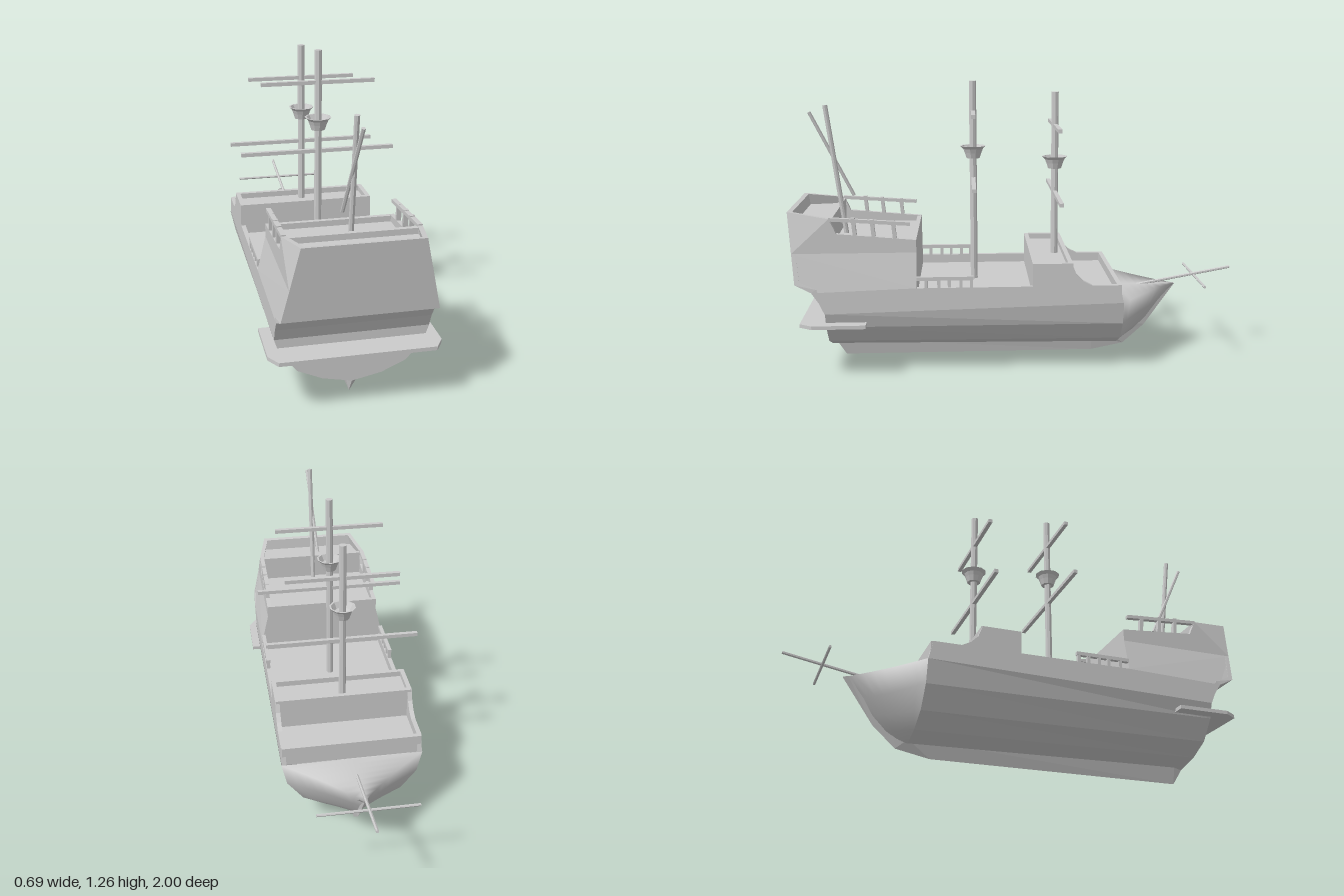
import * as THREE from 'three';

const flat = new THREE.MeshStandardMaterial({ color: 0xcccccc, flatShading: true, side: THREE.DoubleSide });
const smooth = new THREE.MeshStandardMaterial({ color: 0xcccccc, side: THREE.DoubleSide });

// Half-width of the topsides at height y and station z (bow is -z, stern +z)
function halfWidth(y, z) {
  if (y < 0.4 || z < 0.44) return 0.31;
  if (y < 0.55) return 0.31 - 0.035 * (y - 0.4) / 0.15;
  return z > 0.9 ? 0.275 - 0.04 * (y - 0.55) / 0.175 : 0.275;
}

// Extrudes a (z, y) outline sideways; mapX(c, y, z) places c = 0..1 across the ship
function slab(points, mapX) {
  const shape = new THREE.Shape(points.map(([z, y]) => new THREE.Vector2(-z, y)));
  const g = new THREE.ExtrudeGeometry(shape, { depth: 1, bevelEnabled: false });
  const p = g.attributes.position;
  for (let i = 0; i < p.count; i++) {
    const z = -p.getX(i), y = p.getY(i), c = p.getZ(i);
    p.setXYZ(i, mapX(c, y, z), y, z);
  }
  g.computeVertexNormals();
  return g;
}
const across = (points, inset = 0) => slab(points, (c, y, z) => (2 * c - 1) * (halfWidth(y, z) - inset));
const plate = (z0, z1, y0, y1, inset) => across([[z0, y0], [z1, y0], [z1, y1], [z0, y1]], inset);

// Surface through equal-length rows of points
function loft(rows) {
  const n = rows[0].length, index = [];
  for (let i = 0; i < rows.length - 1; i++)
    for (let j = 0; j < n - 1; j++) {
      const a = i * n + j, b = a + n;
      index.push(a, b, a + 1, b, b + 1, a + 1);
    }
  const g = new THREE.BufferGeometry();
  g.setAttribute('position', new THREE.Float32BufferAttribute(rows.flat(2), 3));
  g.setIndex(index);
  g.computeVertexNormals();
  return g;
}

export function createModel() {
  const ship = new THREE.Group();
  ship.name = 'sailingShip';
  const add = (name, geometry, material = flat) => {
    const m = new THREE.Mesh(geometry, material);
    m.name = name;
    ship.add(m);
    return m;
  };
  // Round spar between two points
  const spar = (name, a, b, r, sides = 8) => {
    const va = new THREE.Vector3(...a), vb = new THREE.Vector3(...b);
    const dir = vb.clone().sub(va);
    const m = add(name, new THREE.CylinderGeometry(r, r, dir.length(), sides));
    m.position.copy(va).add(vb).multiplyScalar(0.5);
    m.quaternion.setFromUnitVectors(new THREE.Vector3(0, 1, 0), dir.normalize());
  };

  // Lower hull: half sections from keel to sheer
  const sternHalf = [[0, 0.07], [0.12, 0.095], [0.22, 0.14], [0.29, 0.225], [0.312, 0.29]];
  const bowHalf = [[0, 0.05], [0.12, 0.08], [0.22, 0.13], [0.29, 0.22], [0.312, 0.32]];
  const full = half => [...half.slice(1).reverse().map(([x, y]) => [-x, y]), ...half];
  const at = (half, z) => full(half).map(([x, y]) => [x, y, z]);
  add('hull', loft([at(sternHalf, 0.845), at(bowHalf, -0.45)]).toNonIndexed());
  const transom = new THREE.ShapeGeometry(new THREE.Shape(full(sternHalf).map(p => new THREE.Vector2(...p))));
  add('lowerTransom', transom.translate(0, 0, 0.845));

  // Bow: section narrows to a raked stem, closed on top
  const stemZ = [-0.48, -0.55, -0.61, -0.66, -0.735];
  const stemY = [0.05, 0.1, 0.16, 0.23, 0.32];
  const bowRows = [];
  for (let i = 0; i <= 8; i++) {
    const t = i / 8;
    const half = bowHalf.map(([x, y], k) => [
      x * (1 - t - 0.05 * Math.sin(Math.PI * t)),
      y + (stemY[k] - y) * t,
      -0.45 + (stemZ[k] + 0.45) * t]);
    const top = [0, half[4][1], half[4][2]];
    bowRows.push([top, ...half.slice(1).reverse().map(([x, y, z]) => [-x, y, z]), ...half, top]);
  }
  add('bow', loft(bowRows), smooth);

  // Keel wedge running up into the stem
  const keelOuter = [[0.845, 0.07], [0.8, 0], [-0.35, 0], [-0.5, 0.03], [-0.6, 0.12], [-0.74, 0.32]];
  const keelInner = [[0.845, 0.08], [0.8, 0.08], [-0.35, 0.07], [-0.45, 0.07], [-0.52, 0.13], [-0.72, 0.32]];
  add('keel', loft(keelOuter.map(([z, y], i) => {
    const [iz, iy] = keelInner[i];
    return [[-0.02, iy, iz], [0, y, z], [0.02, iy, iz]];
  })).toNonIndexed());

  // Side walls, lower run and raised stern, on both sides
  const lowerWall = [[-0.45, 0.315], [-0.43, 0.4], [-0.31, 0.4], [-0.27, 0.42], [-0.24, 0.45], [-0.22, 0.5],
    [-0.05, 0.5], [-0.05, 0.4], [0.45, 0.4], [0.45, 0.55], [0.983, 0.55], [0.97, 0.42], [0.9, 0.385],
    [0.87, 0.34], [0.845, 0.285]];
  const upperWall = [[0.45, 0.55], [0.45, 0.605], [0.79, 0.635], [0.8, 0.66], [0.82, 0.7], [1, 0.725], [0.983, 0.55]];
  const thick = 0.02;
  for (const s of [1, -1]) {
    const mapX = (c, y, z) => s > 0 ? halfWidth(y, z) - thick * (1 - c) : -halfWidth(y, z) + thick * c;
    add('sideWall', slab(lowerWall, mapX));
    add('sternSideWall', slab(upperWall, mapX));

    // Waist railing
    const rail = add('waistRail', new THREE.BoxGeometry(0.018, 0.016, 0.245));
    rail.position.set(s * 0.3, 0.44, 0.328);
    for (const z of [0.215, 0.26, 0.31, 0.355, 0.41]) {
      add('waistRailPost', new THREE.BoxGeometry(0.016, 0.045, 0.014)).position.set(s * 0.3, 0.415, z);
    }
    // Quarterdeck railing, rising toward the stern
    const railMap = (c) => s * 0.265 + (c - 0.5) * 0.02;
    add('quarterdeckRail', slab([[0.475, 0.667], [0.475, 0.682], [0.82, 0.705], [0.82, 0.69]], railMap));
    for (const z of [0.54, 0.63, 0.71]) {
      const y = 0.605 + (z - 0.45) * 0.088;
      add('quarterdeckRailPost', slab([[z - 0.008, y - 0.01], [z + 0.008, y - 0.01],
        [z + 0.016, y + 0.075], [z, y + 0.075]], railMap));
    }
  }

  // Stern: counter curving out beneath a tall raked panel
  add('sternPanel', across([[0.845, 0.285], [0.87, 0.34], [0.9, 0.385], [0.97, 0.42], [0.983, 0.55], [1, 0.725],
    [0.98, 0.722], [0.963, 0.55], [0.95, 0.43], [0.88, 0.4], [0.85, 0.35], [0.825, 0.285]]));

  // Decks
  for (const [name, z0, z1, y] of [['bowDeck', -0.43, -0.22, 0.36], ['forecastleDeck', -0.22, -0.05, 0.475],
    ['mainDeck', -0.05, 0.46, 0.36], ['quarterdeck', 0.45, 0.81, 0.58], ['poopDeck', 0.81, 0.98, 0.67]])
    add(name, plate(z0, z1, y - 0.02, y, 0.01));

  // Cross bulkheads
  for (const [name, z, y0, y1] of [['bowBulkhead', -0.43, 0.315, 0.4], ['forecastleFront', -0.215, 0.34, 0.5],
    ['forecastleBack', -0.06, 0.34, 0.5], ['sternLowerBulkhead', 0.46, 0.34, 0.55],
    ['sternUpperBulkhead', 0.46, 0.55, 0.605], ['poopBulkhead', 0.82, 0.56, 0.695]])
    add(name, plate(z - 0.01, z + 0.01, y0, y1, 0.003));

  // Shelf wrapping the stern
  const shelf = new THREE.Shape([[0.345, 0.67], [0.345, 0.9], [0.31, 0.955], [-0.31, 0.955], [-0.345, 0.9],
    [-0.345, 0.67]].map(p => new THREE.Vector2(...p)));
  add('sternShelf', new THREE.ExtrudeGeometry(shelf, { depth: 0.016, bevelEnabled: false })
    .rotateX(Math.PI / 2).translate(0, 0.248, 0));

  // Masts with yards and lookout baskets
  const basket = [[0, 0], [0.03, 0], [0.038, 0.025], [0.045, 0.042], [0.058, 0.055], [0.05, 0.055], [0.036, 0.03], [0, 0.02]];
  for (const [name, z, foot, top, nest, yards] of [
    ['mainMast', 0.2, 0.35, 1.265, 0.92, [[1.127, 0.245], [0.825, 0.335]]],
    ['foreMast', -0.17, 0.46, 1.215, 0.87, [[1.064, 0.245], [0.76, 0.335]]]]) {
    spar(name, [0, foot, z], [0, top, z], 0.016);
    const nestGeo = new THREE.LatheGeometry(basket.map(p => new THREE.Vector2(...p)), 10);
    add(name + 'Lookout', nestGeo).position.set(0, nest, z);
    for (const [y, half] of yards)
      add(name + 'Yard', new THREE.BoxGeometry(half * 2, 0.016, 0.018)).position.set(0, y, z);
  }

  // Raked mizzen mast with its slanted yard
  spar('mizzenMast', [0, 0.57, 0.778], [0, 1.16, 0.855], 0.011);
  spar('mizzenYard', [-0.022, 0.75, 0.742], [0.006, 1.13, 0.925], 0.008, 6);

  // Bowsprit and its cross spar
  spar('bowsprit', [0, 0.315, -0.56], [0, 0.395, -0.998], 0.007, 6);
  spar('bowspritYard', [-0.213, 0.357, -0.83], [0.213, 0.357, -0.83], 0.006, 6);
  return ship;
}
